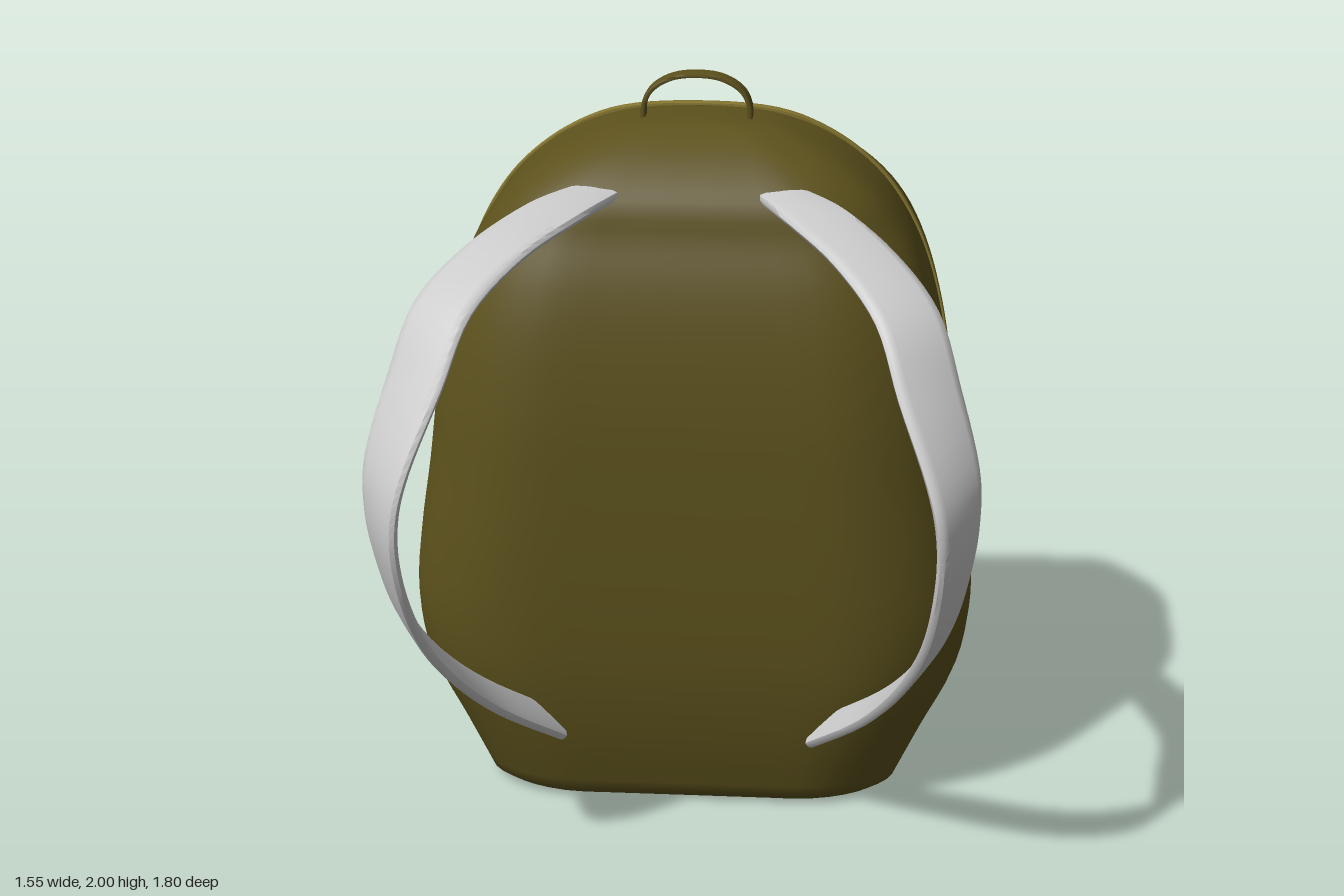
import * as THREE from 'three';
import { toCreasedNormals } from 'three/addons/utils/BufferGeometryUtils.js';

const V = (x, y, z) => new THREE.Vector3(x, y, z);
const mat = color => new THREE.MeshStandardMaterial({ color, roughness: 0.9 });
const fabric = mat(0x5c511c), seam = mat(0x84742f), brass = mat(0xc9a53a), webbing = mat(0xcccccc);

// Skin a list of closed rings (equal point counts) and close both ends
function loft(rings, crease = 0.7) {
  const n = rings[0].length, pos = [], idx = [];
  rings.forEach(r => r.forEach(p => pos.push(p.x, p.y, p.z)));
  for (let i = 0; i < rings.length - 1; i++) {
    for (let j = 0; j < n; j++) {
      const a = i * n + j, b = i * n + (j + 1) % n;
      idx.push(a, b, b + n, a, b + n, a + n);
    }
  }
  [0, rings.length - 1].forEach(i => {
    const c = rings[i].reduce((s, p) => s.add(p), V(0, 0, 0)).divideScalar(n);
    const k = pos.length / 3;
    pos.push(c.x, c.y, c.z);
    for (let j = 0; j < n; j++) {
      const a = i * n + j, b = i * n + (j + 1) % n;
      if (i) idx.push(a, b, k); else idx.push(b, a, k);
    }
  });
  const g = new THREE.BufferGeometry();
  g.setAttribute('position', new THREE.Float32BufferAttribute(pos, 3));
  g.setIndex(idx);
  return toCreasedNormals(g, crease);
}

// Catmull-Rom through rows of numbers, `steps` samples per span
function smooth(rows, steps = 4) {
  const out = [], at = i => rows[Math.min(Math.max(i, 0), rows.length - 1)];
  for (let i = 0; i < rows.length - 1; i++) {
    for (let s = 0; s < steps; s++) {
      const t = s / steps;
      out.push(rows[i].map((b, k) => {
        const a = at(i - 1)[k], c = at(i + 1)[k], d = at(i + 2)[k];
        return b + 0.5 * t * (c - a + t * (2 * a - 5 * b + 4 * c - d + t * (3 * (b - c) + d - a)));
      }));
    }
  }
  out.push(rows[rows.length - 1]);
  return out;
}

// Unit outline from a half profile [x, z] that runs front -> side -> back
function outline(half) {
  const pts = [...half, ...half.slice(1, -1).reverse().map(([x, z]) => [-x, z])];
  const curve = new THREE.CatmullRomCurve3(pts.map(([x, z]) => V(x, 0, z)), true, 'centripetal');
  return curve.getPoints(64).slice(0, 64);
}

// Ring at height y with half width w, reaching from zFront to zBack
const ring = (unit, [y, w, zf, zb]) =>
  unit.map(p => V(p.x * w, y, (zf + zb) / 2 + p.z * (zf - zb) / 2));

// Flat band: rows of [x, y, z, half-width vector x, y, z]
function band(rows, thick, steps = 5) {
  const s = smooth(rows, steps), P = s.map(r => V(r[0], r[1], r[2]));
  const rings = s.map((r, i) => {
    const t = P[Math.min(i + 1, P.length - 1)].clone().sub(P[Math.max(i - 1, 0)]).normalize();
    const w = V(r[3], r[4], r[5]), n = t.clone().cross(w).normalize();
    return Array.from({ length: 12 }, (_, j) => {
      const a = j / 12 * Math.PI * 2, c = Math.cos(a), d = Math.sin(a);
      const round = v => Math.sign(v) * Math.pow(Math.abs(v), 0.5);
      return P[i].clone().addScaledVector(w, round(c)).addScaledVector(n, round(d) * thick);
    });
  });
  return loft(rings, 0.9);
}

// Continue a half path across to the other side
const bothSides = half => [...half, ...half.slice(0, -1).reverse().map(r => [-r[0], ...r.slice(1)])];

export function createModel() {
  const model = new THREE.Group();
  const add = (name, geo, material) => {
    const m = new THREE.Mesh(geo, material);
    m.name = name;
    model.add(m);
    return m;
  };

  // Main bag: [y, half width, z front, z back]
  const bagShape = outline([[0, 1], [0.35, 1], [0.62, 0.99], [0.82, 0.88], [0.95, 0.7], [1, 0.45],
    [1, 0], [1, -0.33], [0.93, -0.54], [0.8, -0.8], [0.69, -0.96], [0.58, -1], [0.3, -1], [0, -1]]);
  const bagRows = [
    [0.005, 0.5, 0.13, -0.5], [0.012, 0.55, 0.16, -0.55],
    ...smooth([
      [0.035, 0.58, 0.185, -0.58], [0.2, 0.655, 0.23, -0.66], [0.38, 0.74, 0.262, -0.715],
      [0.56, 0.77, 0.275, -0.73], [0.75, 0.755, 0.28, -0.735], [0.95, 0.725, 0.28, -0.735],
      [1.15, 0.7, 0.275, -0.74], [1.35, 0.665, 0.255, -0.73], [1.5, 0.62, 0.225, -0.72],
      [1.62, 0.56, 0.185, -0.7], [1.72, 0.48, 0.155, -0.62], [1.81, 0.36, 0.065, -0.48],
      [1.87, 0.21, -0.04, -0.34], [1.885, 0.05, -0.1, -0.31]]),
  ];
  add('bag', loft(bagRows.map(r => ring(bagShape, r))), fabric);

  // Back pocket, its overhanging flap and the zip between them
  const pocketShape = outline([[0, 1], [0.5, 1], [0.95, 1], [1, 0.9], [1, 0.3], [1, -0.4],
    [0.98, -0.7], [0.93, -0.9], [0.84, -0.99], [0.7, -1], [0.4, -1], [0, -1]]);
  const pocketRows = [
    [0.125, 0.45, -0.45, -0.71], [0.135, 0.48, -0.45, -0.745],
    ...smooth([
      [0.18, 0.505, -0.45, -0.775], [0.32, 0.53, -0.45, -0.84], [0.5, 0.54, -0.45, -0.885],
      [0.7, 0.54, -0.45, -0.903], [0.85, 0.53, -0.45, -0.897], [0.93, 0.52, -0.45, -0.88]]),
    [0.945, 0.51, -0.45, -0.86],
  ];
  add('backPocket', loft(pocketRows.map(r => ring(pocketShape, r))), fabric);
  const flapRows = [
    [0.962, 0.505, -0.45, -0.87], [0.97, 0.515, -0.45, -0.885], [1.0, 0.513, -0.45, -0.868],
    [1.05, 0.505, -0.45, -0.81], [1.085, 0.495, -0.45, -0.755], [1.105, 0.48, -0.45, -0.71]];
  add('pocketFlap', loft(flapRows.map(r => ring(pocketShape, r))), fabric);
  add('pocketZip', new THREE.BoxGeometry(0.86, 0.03, 0.1), brass).position.set(0, 0.953, -0.812);

  // Main zip running over the top from side to side
  const zipHalf = [[0.71, 1.08, -0.245], [0.7, 1.15, -0.25], [0.665, 1.35, -0.27], [0.62, 1.5, -0.283],
    [0.56, 1.62, -0.29], [0.48, 1.72, -0.293], [0.36, 1.81, -0.29], [0.21, 1.87, -0.28], [0, 1.885, -0.28]]
    .map(p => [...p, 0, 0, 0.016]);
  add('mainZip', band(bothSides(zipHalf), 0.008), seam);

  // Carry handle
  const handleHalf = [[0.142, 1.85, -0.16], [0.142, 1.91, -0.16], [0.118, 1.955, -0.16],
    [0.065, 1.985, -0.16], [0, 1.993, -0.16]].map(p => [...p, 0, 0, 0.034]);
  add('carryHandle', band(bothSides(handleHalf), 0.007), fabric);

  // Shoulder straps, twisting as they loop out from the front panel
  const strap = [
    [0.245, 1.735, 0.125, 0.07, 0.005, 0], [0.34, 1.715, 0.27, 0.075, 0.005, -0.035],
    [0.465, 1.66, 0.46, 0.078, 0, -0.045], [0.572, 1.56, 0.62, 0.078, 0, -0.05],
    [0.63, 1.4, 0.725, 0.075, 0, -0.06], [0.69, 1.22, 0.805, 0.062, 0, -0.07],
    [0.707, 1.09, 0.825, 0.048, 0, -0.075], [0.7, 0.95, 0.8, 0.04, 0.01, -0.072],
    [0.67, 0.77, 0.72, 0.035, 0.015, -0.062], [0.61, 0.6, 0.6, 0.032, 0.022, -0.05],
    [0.51, 0.42, 0.42, 0.03, 0.03, -0.038], [0.36, 0.25, 0.22, 0.025, 0.032, -0.03]];
  [['leftStrap', 1], ['rightStrap', -1]].forEach(([name, s]) =>
    add(name, band(strap.map(([x, y, z, a, b, c]) => [s * x, y, z, s * a, b, c]), 0.016), webbing));

  return model;
}
